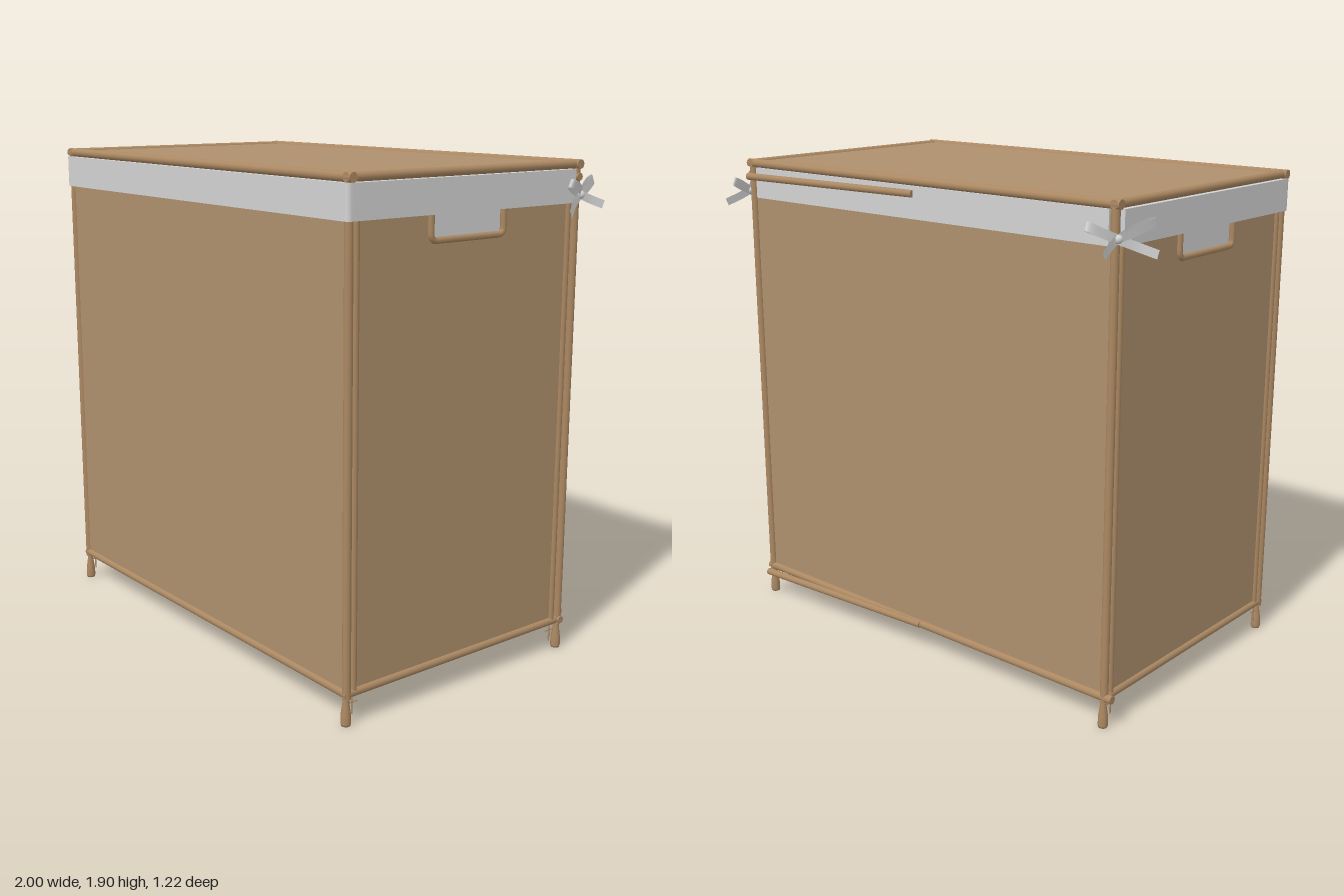
import * as THREE from 'three';

export function createModel() {
  const root = new THREE.Group();
  root.name = 'laundryHamper';
  const mat = (name, color, side = THREE.FrontSide) => {
    const m = new THREE.MeshStandardMaterial({ color, side });
    m.name = name;
    return m;
  };
  const wood = mat('wood', 0xab8862);
  const board = mat('tanPanel', 0xae906d);
  const cloth = mat('liningCloth', 0xd3d3d3, THREE.DoubleSide);

  const add = (name, geometry, material, parent = root) => {
    const mesh = new THREE.Mesh(geometry, material);
    mesh.name = name;
    parent.add(mesh);
    return mesh;
  };
  const box = (name, w, h, d, x, y, z, material) =>
    add(name, new THREE.BoxGeometry(w, h, d), material).position.set(x, y, z);

  // Round rod between two points
  const rod = (name, a, b, r = 0.014, material = wood) => {
    const p = new THREE.Vector3(...a), q = new THREE.Vector3(...b);
    const dir = q.clone().sub(p);
    const mesh = add(name, new THREE.CylinderGeometry(r, r, dir.length(), 16), material);
    mesh.position.copy(p).add(q).multiplyScalar(0.5);
    mesh.quaternion.setFromUnitVectors(new THREE.Vector3(0, 1, 0), dir.normalize());
    return mesh;
  };

  // Front, back and bottom panels
  box('frontPanel', 1.8, 1.75, 0.012, 0, 0.99, 0.587, board);
  box('backPanel', 1.8, 1.75, 0.012, 0, 0.99, -0.479, board);
  box('bottomPanel', 1.8, 0.012, 1.05, 0, 0.117, 0.055, board);

  // Inner cloth seen through the handle openings
  for (const s of [-1, 1]) box('innerLining', 0.006, 0.3, 0.9, s * 0.893, 1.7, 0.055, cloth);

  // Side panels with a handle opening (shape drawn in z, y)
  const handleOutline = (path) => {
    path.moveTo(-0.11, 1.78);
    path.lineTo(-0.11, 1.685);
    path.quadraticCurveTo(-0.11, 1.66, -0.085, 1.66);
    path.lineTo(0.21, 1.66);
    path.quadraticCurveTo(0.235, 1.66, 0.235, 1.685);
    path.lineTo(0.235, 1.78);
    return path;
  };
  const sideShape = new THREE.Shape([[-0.45, 0.11], [0.56, 0.11], [0.56, 1.865], [-0.45, 1.865]]
    .map(([z, y]) => new THREE.Vector2(z, y)));
  const hole = handleOutline(new THREE.Path());
  hole.closePath();
  sideShape.holes.push(hole);
  const sideGeo = new THREE.ExtrudeGeometry(sideShape, { depth: 0.01, bevelEnabled: false, curveSegments: 6 });
  sideGeo.rotateY(-Math.PI / 2); // shape x becomes z, depth runs to -x

  for (const s of [-1, 1]) {
    add('sidePanel', sideGeo, board).position.x = s * 0.905 + 0.005;

    // Rounded rim of the handle opening
    const pts = handleOutline(new THREE.Path()).getSpacedPoints(48)
      .map((p) => new THREE.Vector3(s * 0.913, p.y, p.x));
    add('handleRim', new THREE.TubeGeometry(new THREE.CatmullRomCurve3(pts), 96, 0.012, 8), wood);

    // Side frame
    for (const z of [0.557, -0.448]) {
      rod('sideFramePost', [s * 0.907, 0.11, z], [s * 0.907, 1.87, z], 0.013);
      rod('hingePin', [s * 0.907, 0.035, z + 0.005], [s * 0.907, 0.11, z + 0.005], 0.003);
      rod('hingePinBar', [s * 0.907, 0.08, z - 0.018], [s * 0.907, 0.08, z + 0.028], 0.0025);
    }
    rod('sideBottomRail', [s * 0.907, 0.117, -0.47], [s * 0.907, 0.117, 0.58], 0.016);
    rod('sideTopRail', [s * 0.9, 1.85, -0.47], [s * 0.9, 1.85, 0.58], 0.013);
  }

  // Corner posts and turned feet
  const footProfile = [[0, 0], [0.017, 0], [0.019, 0.008], [0.018, 0.045], [0.012, 0.085], [0.012, 0.11]]
    .map(([r, y]) => new THREE.Vector2(r, y));
  const footGeo = new THREE.LatheGeometry(footProfile, 16);
  for (const s of [-1, 1]) {
    for (const z of [0.588, -0.484]) {
      rod('cornerPost', [s * 0.909, 0.1, z], [s * 0.909, 1.875, z], 0.0155);
      add('foot', footGeo, wood).position.set(s * 0.906, 0, z);
    }
  }
  rod('frontBottomRail', [-0.92, 0.117, 0.588], [0.92, 0.117, 0.588], 0.016);
  rod('backBottomRail', [-0.945, 0.119, -0.484], [0.92, 0.119, -0.484], 0.016);

  // Lid: panel inside a frame of round rails
  box('lidPanel', 1.82, 0.014, 1.07, 0, 1.887, 0.053, board);
  for (const z of [0.588, -0.484]) rod('lidLongRail', [-0.932, 1.888, z], [0.932, 1.888, z], 0.017);
  for (const x of [-0.911, 0.911]) rod('lidShortRail', [x, 1.888, -0.5], [x, 1.888, 0.604], 0.016);

  // Loose prop poles swung out behind the back
  for (const y of [1.842, 0.119]) {
    rod('propPole', [0, y, -0.492], [0.87, y, -0.545], 0.014);
    rod('propPoleSocket', [0.905, y, -0.484], [0.93, y, -0.484], 0.014);
  }

  // Folded cloth band, notched around the back posts
  const bandShape = new THREE.Shape();
  bandShape.moveTo(-0.91, 0.61);
  bandShape.lineTo(0.91, 0.61);
  bandShape.quadraticCurveTo(0.93, 0.61, 0.93, 0.59);
  [[0.93, -0.462], [0.887, -0.462], [0.887, -0.492], [-0.887, -0.492], [-0.887, -0.462],
    [-0.93, -0.462], [-0.93, 0.59]].forEach(([x, z]) => bandShape.lineTo(x, z));
  bandShape.quadraticCurveTo(-0.93, 0.61, -0.91, 0.61);
  const inner = new THREE.Path([[-0.89, 0.57], [-0.89, -0.455], [0.89, -0.455], [0.89, 0.57]]
    .map(([x, z]) => new THREE.Vector2(x, z)));
  inner.closePath();
  // Inner edge stays clear of the notches
  inner.curves.length = 0;
  inner.setFromPoints([[-0.87, 0.57], [-0.87, -0.45], [0.87, -0.45], [0.87, 0.57]]
    .map(([x, z]) => new THREE.Vector2(x, z)));
  bandShape.holes.push(inner);
  const bandGeo = new THREE.ExtrudeGeometry(bandShape, { depth: 0.122, bevelEnabled: false, curveSegments: 6 });
  bandGeo.rotateX(Math.PI / 2).scale(1, 1, 1); // shape y becomes z, depth runs down
  add('clothBand', bandGeo, cloth).position.y = 1.871;

  // Ribbon strip following a path, with its width across the vertical slant
  const ribbon = (name, points, slant, parent) => {
    const curve = new THREE.CatmullRomCurve3(points.map((p) => new THREE.Vector3(...p)));
    const half = new THREE.Vector3(0, 1, slant).normalize().multiplyScalar(0.016);
    const n = 24, pos = [], idx = [];
    curve.getPoints(n).forEach((p, i) => {
      pos.push(...p.clone().add(half).toArray(), ...p.clone().sub(half).toArray());
      if (i < n) idx.push(2 * i, 2 * i + 1, 2 * i + 2, 2 * i + 1, 2 * i + 3, 2 * i + 2);
    });
    const g = new THREE.BufferGeometry();
    g.setAttribute('position', new THREE.Float32BufferAttribute(pos, 3));
    g.setIndex(idx);
    g.computeVertexNormals();
    add(name, g, cloth, parent);
  };

  // Bows tied around the back posts: two loops and two tails each
  for (const s of [-1, 1]) {
    const bow = new THREE.Group();
    bow.name = 'bow';
    const m = (pts) => pts.map(([x, y, z]) => [s * x, y, z]);
    ribbon('frontLoop', m([[0.925, 1.777, -0.495], [0.942, 1.803, -0.43], [0.975, 1.826, -0.375], [0.994, 1.828, -0.368],
      [0.99, 1.818, -0.4], [0.965, 1.798, -0.45], [0.925, 1.777, -0.495]]), -0.45, bow);
    ribbon('backLoop', m([[0.925, 1.777, -0.495], [0.912, 1.8, -0.55], [0.892, 1.826, -0.602], [0.88, 1.828, -0.608],
      [0.882, 1.816, -0.58], [0.9, 1.798, -0.54], [0.925, 1.777, -0.495]]), 0.45, bow);
    ribbon('frontTail', m([[0.925, 1.777, -0.495], [0.955, 1.748, -0.43], [0.998, 1.717, -0.365]]), 0.45, bow);
    ribbon('backTail', m([[0.925, 1.777, -0.495], [0.933, 1.757, -0.545], [0.948, 1.737, -0.598]]), -0.45, bow);
    const knot = add('knot', new THREE.SphereGeometry(0.016, 12, 8), cloth, bow);
    knot.position.set(s * 0.927, 1.777, -0.493);
    root.add(bow);
  }
  return root;
}
